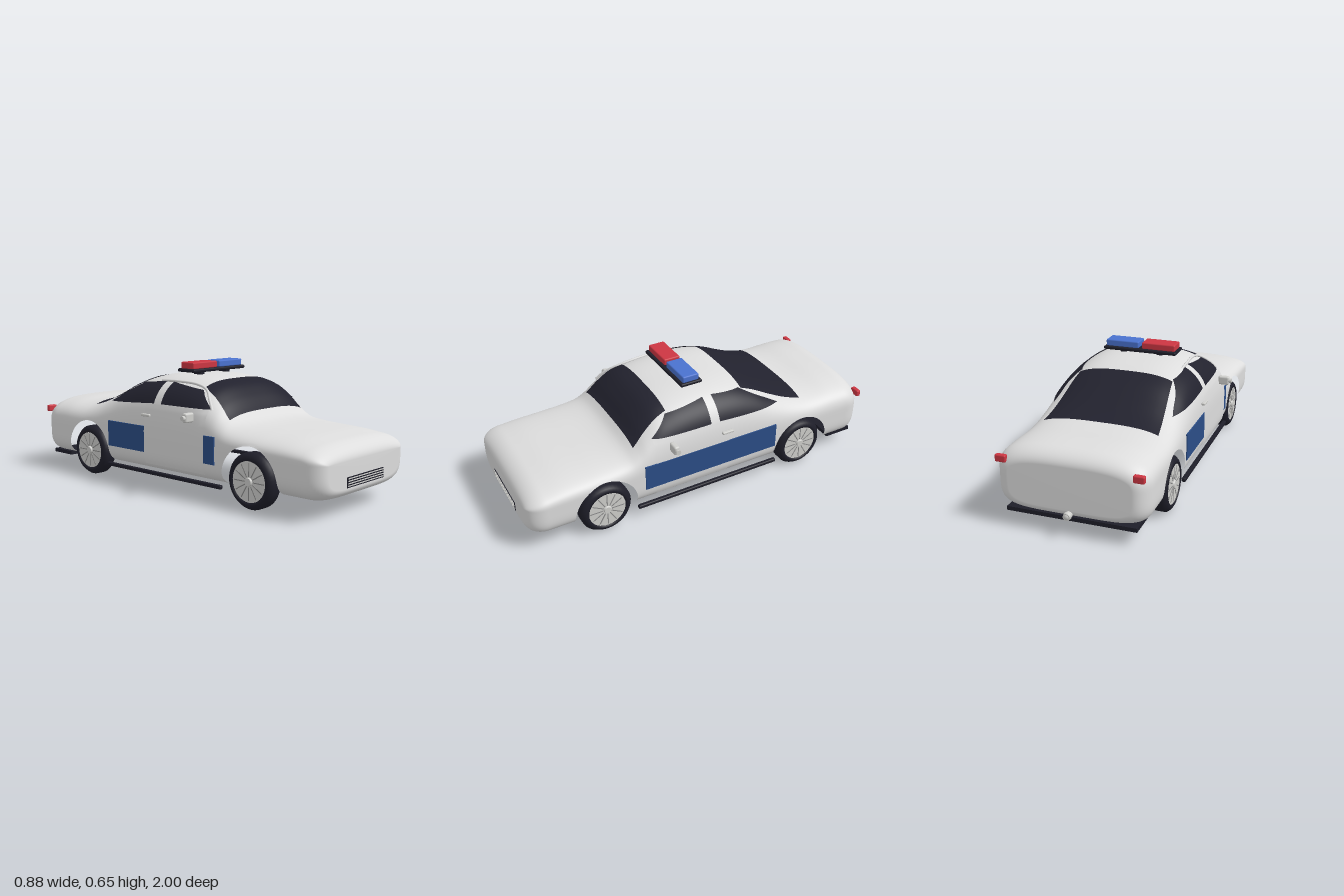
import * as THREE from 'three';
import { RoundedBoxGeometry } from 'three/addons/geometries/RoundedBoxGeometry.js';

const mat = (name, color, side = THREE.FrontSide) => {
  const m = new THREE.MeshStandardMaterial({ color, side });
  m.name = name;
  return m;
};
const M = {
  paint: mat('white paint', 0xdddddd),
  panel: mat('white door panel', 0xdddddd, THREE.DoubleSide),
  glass: mat('dark glass', 0x22222e, THREE.DoubleSide),
  black: mat('black rubber', 0x1e1e29),
  navy: mat('blue stripe', 0x2b4d86),
  blue: mat('blue lamp', 0x4a72cf),
  red: mat('red lamp', 0xcc3642),
  silver: mat('silver', 0xcfcfcc),
  grey: mat('grey metal', 0x8c8c8c),
};

// Roof line as (z, y) keys
const KEYS = [[-0.97, 0.405], [-0.87, 0.408], [-0.78, 0.41], [-0.68, 0.405], [-0.6, 0.41], [-0.5, 0.438],
  [-0.4, 0.485], [-0.3, 0.537], [-0.2, 0.57], [-0.1, 0.585], [0, 0.588], [0.1, 0.584], [0.2, 0.57],
  [0.28, 0.545], [0.35, 0.49], [0.4, 0.435], [0.45, 0.395], [0.52, 0.376], [0.65, 0.364], [0.8, 0.354],
  [0.9, 0.34], [1, 0.325]];
function roofLine(z) {
  let i = 0;
  while (i < KEYS.length - 2 && z > KEYS[i + 1][0]) i++;
  const slope = k => {
    const a = KEYS[Math.max(k - 1, 0)], b = KEYS[Math.min(k + 1, KEYS.length - 1)];
    return (b[1] - a[1]) / (b[0] - a[0]);
  };
  const [z0, y0] = KEYS[i], [z1, y1] = KEYS[i + 1], h = z1 - z0, t = (z - z0) / h;
  const t2 = t * t, t3 = t2 * t;
  return (2 * t3 - 3 * t2 + 1) * y0 + (t3 - 2 * t2 + t) * h * slope(i)
    + (3 * t2 - 2 * t3) * y1 + (t3 - t2) * h * slope(i + 1);
}

// Cross-section of the shell at z: half width, top, bottom
const MID = 0.26, N_UP = 3.1, N_LOW = 5;
const FRONT = 0.9, REAR = -0.87, ROUND = 0.095;
function section(z) {
  const t = Math.min(1, Math.max(0, z - FRONT, REAR - z) / ROUND);
  const inset = 1 - Math.sqrt(1 - t * t);
  return { w: 0.374 - 0.075 * inset, top: roofLine(z) - 0.065 * inset, bottom: 0.08 + 0.05 * inset };
}
function sideX(z, y) {
  const s = section(z), up = y > MID, n = up ? N_UP : N_LOW;
  const v = Math.min(1, (up ? y - MID : MID - y) / (up ? s.top - MID : MID - s.bottom));
  return s.w * Math.pow(1 - Math.pow(v, n), 1 / n);
}
function topY(z, x) {
  const s = section(z);
  return MID + (s.top - MID) * Math.pow(1 - Math.pow(Math.min(1, Math.abs(x) / s.w), N_UP), 1 / N_UP);
}

const WHEEL_Z = [0.595, -0.565], WHEEL_Y = 0.138, ARCH = 0.168;
const meshOf = (parent, name, geometry, material, x = 0, y = 0, z = 0) => {
  const m = new THREE.Mesh(geometry, material);
  m.name = name;
  m.position.set(x, y, z);
  parent.add(m);
  return m;
};
function surface(pos, idx) {
  const g = new THREE.BufferGeometry();
  g.setAttribute('position', new THREE.Float32BufferAttribute(pos, 3));
  g.setIndex(idx);
  g.computeVertexNormals();
  return g;
}

// Lofted shell with open wheel arches
function bodyGeometry() {
  const zs = [], ring = 136, pos = [], idx = [];
  for (let i = 12; i > 0; i--) zs.push(REAR - ROUND * Math.sin(i * Math.PI / 24));
  for (let i = 0; i <= 177; i++) zs.push(REAR + i * 0.01);
  for (let i = 1; i <= 12; i++) zs.push(FRONT + ROUND * Math.sin(i * Math.PI / 24));
  for (const z of zs) {
    const s = section(z);
    for (let j = 0; j < ring; j++) {
      const a = j / ring * Math.PI * 2, c = Math.cos(a), q = Math.sin(a), n = q > 0 ? N_UP : N_LOW;
      const r = Math.pow(Math.abs(c) ** n + Math.abs(q) ** n, -1 / n);
      let x = s.w * r * c, y = MID + (q > 0 ? s.top - MID : MID - s.bottom) * r * q, zz = z;
      // pull nearby points onto the arch circle
      for (const wz of WHEEL_Z) {
        const d = Math.hypot(z - wz, y - WHEEL_Y);
        if (Math.abs(x) > 0.3 && y > 0.09 && Math.abs(d - ARCH) < 0.007) {
          zz = wz + (z - wz) * ARCH / d;
          y = WHEEL_Y + (y - WHEEL_Y) * ARCH / d;
          x = Math.sign(x) * sideX(zz, y);
        }
      }
      pos.push(x, y, zz);
    }
  }
  const tri = (...t) => {
    let x = 0, y = 0, z = 0;
    for (const k of t) { x += pos[k * 3] / 3; y += pos[k * 3 + 1] / 3; z += pos[k * 3 + 2] / 3; }
    const cut = Math.abs(x) > 0.27 && WHEEL_Z.some(w => Math.hypot(z - w, y - WHEEL_Y) < ARCH);
    if (!cut) idx.push(...t);
  };
  for (let i = 0; i < zs.length - 1; i++) for (let j = 0; j < ring; j++) {
    const a = i * ring + j, b = i * ring + (j + 1) % ring;
    tri(a, b, a + ring);
    tri(b, b + ring, a + ring);
  }
  // nose and tail caps
  const last = (zs.length - 1) * ring, mid = pos.length / 3;
  pos.push(0, 0.22, zs[0], 0, 0.22, zs[zs.length - 1]);
  for (let j = 0; j < ring; j++) {
    const k = (j + 1) % ring;
    idx.push(mid, k, j, mid + 1, last + j, last + k);
  }
  return surface(pos, idx);
}

// Thin sheet laid on the shell: four 2D corners and a rule giving the 3D point
function sheet(q, place, n = 20) {
  const pos = [], idx = [], mix = THREE.MathUtils.lerp;
  for (let i = 0; i <= n; i++) for (let j = 0; j <= n; j++) {
    const u = i / n, v = j / n;
    pos.push(...place(mix(mix(q[0][0], q[1][0], u), mix(q[3][0], q[2][0], u), v),
      mix(mix(q[0][1], q[1][1], u), mix(q[3][1], q[2][1], u), v)));
    if (i < n && j < n) {
      const a = i * (n + 1) + j;
      idx.push(a, a + n + 1, a + 1, a + 1, a + n + 1, a + n + 2);
    }
  }
  return surface(pos, idx);
}
const onTop = (x, z) => [x, topY(z, x) + 0.004, z];
const onSide = (s, off) => (z, y) => [s * (sideX(z, y) + off), y + (y > 0.4 ? off * 0.5 : 0), z];

function addWheel(parent, s, z) {
  const wheel = new THREE.Group();
  wheel.name = 'wheel';
  wheel.position.set(s * 0.325, WHEEL_Y, z);
  wheel.rotation.z = -s * Math.PI / 2;
  parent.add(wheel);
  const profile = [[0, -0.045], [0.112, -0.045], [0.125, -0.038], [0.137, -0.022], [0.137, 0.022],
    [0.125, 0.038], [0.112, 0.045], [0.1, 0.045], [0.098, 0.03], [0, 0.03]];
  meshOf(wheel, 'tire', new THREE.LatheGeometry(profile.map(p => new THREE.Vector2(...p)), 40), M.black);
  meshOf(wheel, 'rim', new THREE.CylinderGeometry(0.099, 0.099, 0.012, 40), M.silver, 0, 0.035, 0);
  meshOf(wheel, 'hub', new THREE.CylinderGeometry(0.018, 0.022, 0.01, 20), M.silver, 0, 0.045, 0);
  for (let k = 0; k < 12; k++) {
    const a = k * Math.PI / 6;
    const slot = meshOf(wheel, 'spokeGap', new THREE.BoxGeometry(0.066, 0.004, 0.005), M.grey,
      0.058 * Math.cos(a), 0.0405, 0.058 * Math.sin(a));
    slot.rotation.y = -a;
  }
}

export function createModel() {
  const car = new THREE.Group();
  car.name = 'patrolCar';
  meshOf(car, 'body', bodyGeometry(), M.paint);

  // Windscreens
  meshOf(car, 'windshield', sheet([[-0.29, 0.41], [0.29, 0.41], [0.255, 0.21], [-0.255, 0.21]], onTop), M.glass);
  meshOf(car, 'rearWindow', sheet([[-0.295, -0.59], [0.295, -0.59], [0.25, -0.235], [-0.25, -0.235]], onTop), M.glass);

  for (const s of [1, -1]) {
    // Side glass, doors and stripe; the right-hand door stands proud of the stripe
    const right = s < 0;
    meshOf(car, 'frontSideWindow', sheet([[0.325, 0.445], [0, 0.445], [0, 0.553], [0.22, 0.528]], onSide(s, 0.005)), M.glass);
    meshOf(car, 'rearSideWindow', sheet([[-0.05, 0.445], [-0.43, 0.422], [-0.22, 0.537], [-0.05, 0.553]], onSide(s, 0.005)), M.glass);
    meshOf(car, 'door', sheet([[0.32, 0.13], [-0.1, 0.13], [-0.1, 0.44], [0.32, 0.44]], onSide(s, right ? 0.011 : 0.002)), M.panel);
    meshOf(car, 'sideStripe', new THREE.BoxGeometry(0.008, 0.137, 0.775), M.navy, s * 0.375, 0.257, -0.003);
    if (right) {
      const path = [[0.33, 0.44], [0.29, 0.485], [0.23, 0.53], [0.15, 0.55], [0, 0.556], [-0.09, 0.553]]
        .map(([z, y]) => new THREE.Vector3(...onSide(s, 0.006)(z, y)));
      meshOf(car, 'doorFrame', new THREE.TubeGeometry(new THREE.CatmullRomCurve3(path), 32, 0.007, 8), M.paint);
    }
    meshOf(car, 'doorHandle', new RoundedBoxGeometry(0.02, 0.014, 0.065, 2, 0.005), M.silver, s * 0.38, 0.385, -0.085);

    // Mirrors
    meshOf(car, 'mirror', new RoundedBoxGeometry(0.06, 0.048, 0.03, 3, 0.01), M.silver, s * 0.4, 0.407, 0.235);
    const stub = meshOf(car, 'mirrorTip', new THREE.CylinderGeometry(0.012, 0.014, 0.045, 12), M.silver, s * 0.42, 0.407, 0.235);
    stub.rotation.z = Math.PI / 2;

    // Sills, lamps, wheels
    meshOf(car, 'sill', new RoundedBoxGeometry(0.022, 0.02, 0.83, 2, 0.006), M.black, s * 0.366, 0.084, 0.01);
    meshOf(car, 'tailLight', new RoundedBoxGeometry(0.055, 0.036, 0.026, 2, 0.007), M.red, s * 0.333, 0.336, -0.955);
    meshOf(car, 'frontMarker', new RoundedBoxGeometry(0.012, 0.05, 0.03, 2, 0.005), M.silver, s * 0.352, 0.255, 0.94);
    for (const z of WHEEL_Z) addWheel(car, s, z);

    // Roof lamps
    meshOf(car, 'roofLamp', new RoundedBoxGeometry(0.183, 0.036, 0.092, 2, 0.007), s > 0 ? M.blue : M.red, s * 0.1, 0.635, 0.027);
    meshOf(car, 'lightBarFoot', new THREE.BoxGeometry(0.03, 0.025, 0.05), M.black, s * 0.1, 0.592, 0.027);
  }
  meshOf(car, 'lightBarBase', new RoundedBoxGeometry(0.402, 0.018, 0.122, 2, 0.007), M.black, 0, 0.61, 0.027);

  // Grille
  meshOf(car, 'grille', new THREE.BoxGeometry(0.31, 0.05, 0.008), M.black, 0, 0.162, 0.994);
  for (let i = 0; i < 4; i++) {
    meshOf(car, 'grilleBar', new THREE.BoxGeometry(0.3, 0.005, 0.006), M.silver, 0, 0.145 + i * 0.0115, 0.997);
  }

  // Rear bumper and tow hitch
  meshOf(car, 'rearBumper', new THREE.BoxGeometry(0.64, 0.02, 0.155), M.black, 0, 0.082, -0.873);
  const hitch = meshOf(car, 'towHitch', new THREE.CylinderGeometry(0.017, 0.017, 0.04, 16), M.silver, 0, 0.112, -0.975);
  hitch.rotation.x = Math.PI / 2;
  meshOf(car, 'towBall', new THREE.SphereGeometry(0.02, 16, 12), M.silver, 0, 0.112, -0.98);
  return car;
}
